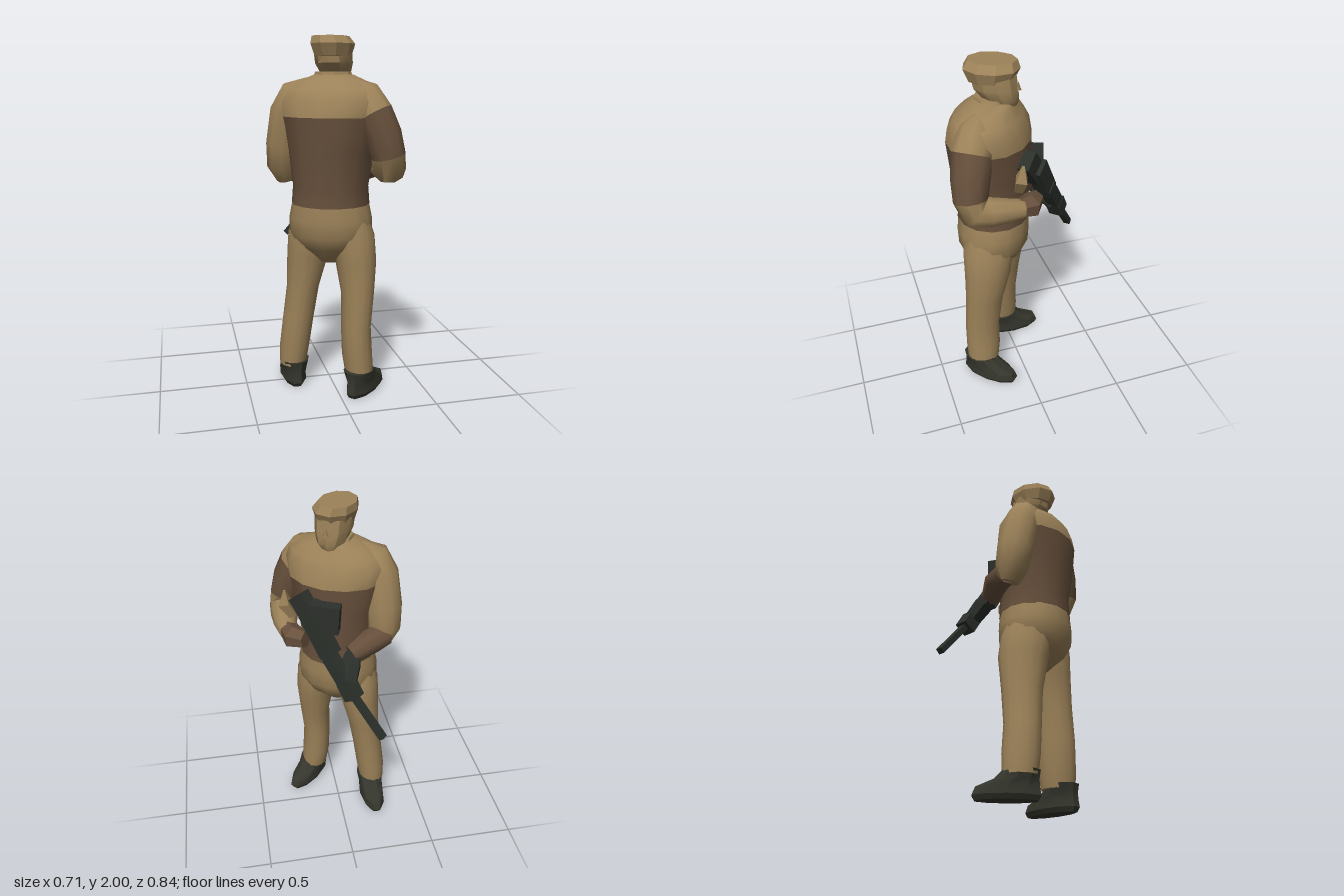
import * as THREE from 'three';
import { toCreasedNormals } from 'three/addons/utils/BufferGeometryUtils.js';

const mat = (name, color) => {
  const m = new THREE.MeshStandardMaterial({ color });
  m.name = name;
  return m;
};
const V = (x, y, z) => new THREE.Vector3(x, y, z);
const TURN = Math.PI / 6; // the body is turned towards +x, -z

// Closed surface through rings of points that run counter-clockwise around the direction of travel
function skin(rings, crease = 1) {
  const pos = [];
  const tri = (...pts) => pts.forEach((p) => pos.push(p.x, p.y, p.z));
  const n = rings[0].length;
  for (let i = 0; i < rings.length - 1; i++) {
    for (let j = 0; j < n; j++) {
      const k = (j + 1) % n;
      const [a, b, c, d] = [rings[i][j], rings[i][k], rings[i + 1][k], rings[i + 1][j]];
      tri(a, b, c);
      tri(a, c, d);
    }
  }
  const last = rings[rings.length - 1];
  for (let j = 1; j < n - 1; j++) {
    tri(rings[0][0], rings[0][j + 1], rings[0][j]);
    tri(last[0], last[j], last[j + 1]);
  }
  const g = new THREE.BufferGeometry();
  g.setAttribute('position', new THREE.Float32BufferAttribute(pos, 3));
  return toCreasedNormals(g, crease);
}

function ring(c, u, w, n) {
  return Array.from({ length: n }, (_, j) => {
    const t = ((j + 0.5) / n) * Math.PI * 2;
    return c.clone().addScaledVector(u, Math.cos(t)).addScaledVector(w, Math.sin(t));
  });
}

// Upright form from level ellipses: [y, x, z, half width, half depth]
function upright(sections, turn = 0, n = 14, crease = 0.9) {
  return skin(sections.map(([y, x, z, a, b]) => ring(V(x, y, z),
    V(Math.cos(turn) * a, 0, Math.sin(turn) * a),
    V(Math.sin(turn) * b, 0, -Math.cos(turn) * b), n)), crease);
}

// Rings of a limb along a path: [x, y, z, radius]
function limb(path, n = 10) {
  const pts = path.map(([x, y, z]) => V(x, y, z));
  let u = V(1, 0, 0.3);
  return path.map((p, i) => {
    const d = pts[Math.min(i + 1, pts.length - 1)].clone().sub(pts[Math.max(i - 1, 0)]).normalize();
    u = u.clone().addScaledVector(d, -u.dot(d)).normalize();
    const w = d.clone().cross(u);
    return ring(pts[i], u.clone().multiplyScalar(p[3]), w.multiplyScalar(p[3]), n);
  });
}

export function createModel() {
  const model = new THREE.Group();
  const tan = mat('tan cloth', 0x9c8259);
  const brown = mat('brown cloth', 0x67503c);
  const leather = mat('dark boot leather', 0x34352c);
  const metal = mat('gun metal', 0x2c302b);
  const add = (name, geometry, material, parent = model) => {
    const m = new THREE.Mesh(geometry, material);
    m.name = name;
    parent.add(m);
    return m;
  };

  // Trousers
  add('hips', upright([
    [0.77, -0.02, 0.125, 0.07, 0.07], [0.86, -0.018, 0.125, 0.19, 0.165],
    [0.93, -0.02, 0.127, 0.235, 0.2], [1.02, -0.02, 0.127, 0.234, 0.206],
    [1.11, -0.02, 0.125, 0.214, 0.203],
  ], TURN), tan);
  add('leftLeg', upright([
    [0.13, -0.225, 0.025, 0.076, 0.092], [0.24, -0.215, 0.03, 0.086, 0.1],
    [0.4, -0.195, 0.04, 0.088, 0.1], [0.6, -0.165, 0.04, 0.092, 0.112],
    [0.8, -0.135, 0.05, 0.118, 0.14], [0.93, -0.123, 0.07, 0.125, 0.145], [1.06, -0.11, 0.09, 0.1, 0.12],
  ]), tan);
  add('rightLeg', upright([
    [0.13, 0.12, 0.25, 0.08, 0.095], [0.24, 0.108, 0.245, 0.085, 0.105],
    [0.4, 0.1, 0.245, 0.083, 0.105], [0.6, 0.112, 0.23, 0.092, 0.112],
    [0.78, 0.107, 0.205, 0.114, 0.135], [0.93, 0.087, 0.19, 0.125, 0.148], [1.06, 0.06, 0.175, 0.11, 0.13],
  ]), tan);

  // Boots, long axis along the heading
  const boot = (name, x, z, heading) => {
    const at = (y, forward, length, width) =>
      [y, x + Math.cos(heading) * forward, z + Math.sin(heading) * forward, length, width];
    add(name, upright([
      at(0.005, 0.07, 0.165, 0.062), at(0.03, 0.07, 0.18, 0.076), at(0.07, 0.065, 0.168, 0.072),
      at(0.11, 0.02, 0.118, 0.076), at(0.155, -0.005, 0.1, 0.084),
    ], heading, 10, 0.5), leather);
  };
  boot('leftBoot', -0.215, 0.027, -Math.PI / 2);
  boot('rightBoot', 0.117, 0.268, -0.8);

  // Jacket, with broad shoulders flowing into the arms
  add('jacketMiddle', upright([
    [1.1, -0.02, 0.125, 0.218, 0.205], [1.2, -0.02, 0.125, 0.21, 0.2],
    [1.4, -0.02, 0.135, 0.24, 0.22], [1.58, -0.02, 0.14, 0.28, 0.228],
  ], TURN), brown);
  add('jacketTop', upright([
    [1.58, -0.02, 0.14, 0.28, 0.228], [1.66, -0.02, 0.14, 0.29, 0.212],
    [1.72, -0.015, 0.14, 0.262, 0.18], [1.765, -0.01, 0.13, 0.19, 0.135], [1.8, 0, 0.115, 0.105, 0.105],
  ], TURN), tan);
  add('collar', upright([
    [1.75, 0, 0.115, 0.125, 0.12], [1.815, -0.005, 0.12, 0.097, 0.1],
  ], TURN, 8, 0.3), tan);

  // Left arm reaching across to the handguard
  add('leftUpperArm', skin(limb([
    [-0.12, 1.745, 0.085, 0.05], [-0.19, 1.69, 0.06, 0.1], [-0.23, 1.6, 0.035, 0.108],
    [-0.25, 1.42, 0.0, 0.108], [-0.255, 1.3, -0.02, 0.096], [-0.235, 1.22, -0.035, 0.06],
  ])), tan);
  add('leftForearm', skin(limb([
    [-0.25, 1.27, -0.05, 0.07], [-0.16, 1.26, -0.1, 0.075], [-0.05, 1.21, -0.135, 0.055],
  ], 8)), brown);
  add('leftHand', skin(limb([
    [-0.06, 1.21, -0.13, 0.045], [-0.035, 1.17, -0.18, 0.062], [-0.01, 1.1, -0.235, 0.055],
  ], 6), 0.3), metal);

  // Right arm bent to the grip: tan shoulder, brown sleeve, tan forearm
  const rightArm = limb([
    [0.07, 1.745, 0.2, 0.05], [0.125, 1.685, 0.24, 0.102], [0.175, 1.59, 0.285, 0.108],
    [0.22, 1.48, 0.31, 0.104], [0.25, 1.375, 0.32, 0.093], [0.262, 1.305, 0.3, 0.09],
    [0.274, 1.295, 0.22, 0.08], [0.28, 1.29, 0.13, 0.066], [0.272, 1.28, 0.05, 0.053],
  ]);
  add('rightShoulder', skin(rightArm.slice(0, 3)), tan);
  add('rightSleeve', skin(rightArm.slice(2, 5)), brown);
  add('rightForearm', skin(rightArm.slice(4)), tan);
  add('rightHand', skin(limb([
    [0.272, 1.285, 0.07, 0.054], [0.25, 1.275, 0, 0.068], [0.19, 1.28, -0.05, 0.05],
  ], 6), 0.3), brown);
  add('looseStrap', skin(limb([
    [0.24, 1.38, 0.06, 0.03], [0.285, 1.46, 0.06, 0.042], [0.285, 1.54, 0.05, 0.008],
  ], 4), 0.3), tan);

  // Head and cap
  add('head', upright([
    [1.765, 0.03, 0.055, 0.05, 0.05], [1.8, 0.02, 0.08, 0.08, 0.092],
    [1.86, 0.003, 0.108, 0.1, 0.12], [1.93, -0.005, 0.115, 0.103, 0.12],
  ], TURN, 10, 0.6), tan);
  const nose = add('nose', new THREE.ConeGeometry(0.016, 0.045, 4), tan);
  nose.position.set(0.062, 1.875, 0.004);
  nose.rotation.y = -TURN;
  add('cap', upright([
    [1.895, -0.01, 0.128, 0.1, 0.118], [1.96, -0.01, 0.125, 0.12, 0.15],
    [2.0, -0.02, 0.115, 0.1, 0.13],
  ], TURN, 9, 0.4), tan);

  // Rifle slung across the front, muzzle low
  const rifle = new THREE.Group();
  rifle.name = 'rifle';
  model.add(rifle);
  const bar = (name, from, to, w, h) => {
    const a = V(...from), b = V(...to);
    const m = add(name, new THREE.BoxGeometry(w, h, a.distanceTo(b)), metal, rifle);
    m.position.copy(a).lerp(b, 0.5);
    m.lookAt(b);
  };
  bar('barrel', [-0.18, 0.815, -0.405], [-0.02, 1.06, -0.265], 0.038, 0.034);
  bar('sightBlock', [-0.04, 1.02, -0.28], [0, 1.11, -0.24], 0.08, 0.085);
  bar('handguard', [-0.01, 1.08, -0.255], [0.1, 1.28, -0.15], 0.065, 0.075);
  bar('receiver', [0.07, 1.24, -0.16], [0.17, 1.46, -0.06], 0.08, 0.1);
  bar('magazine', [0.16, 1.44, -0.06], [0.01, 1.43, -0.115], 0.08, 0.16);
  bar('stock', [0.13, 1.38, -0.08], [0.215, 1.53, 0.01], 0.065, 0.11);

  return model;
}
